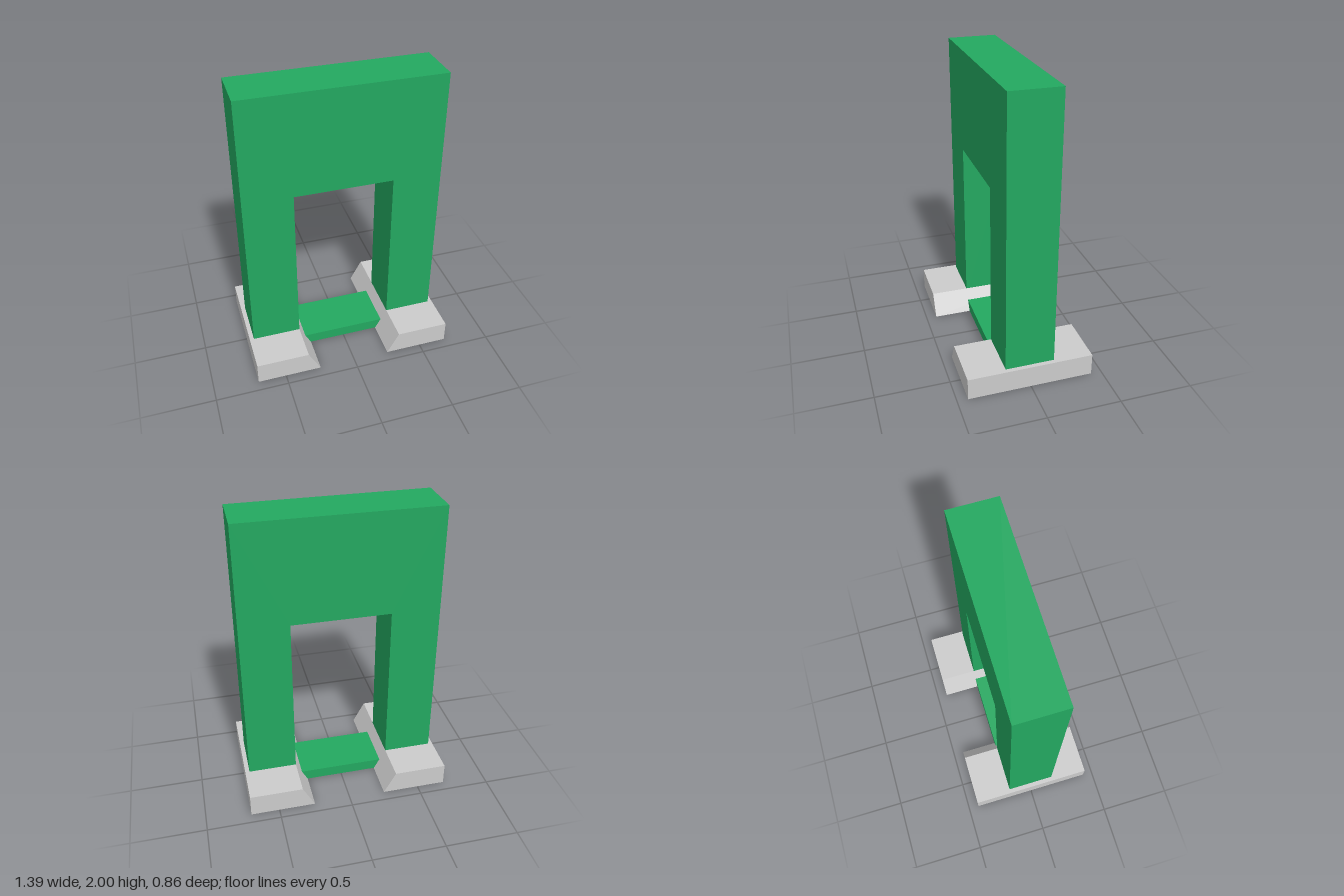
import * as THREE from 'three';

const green = new THREE.MeshStandardMaterial({ color: 0x23a860 });
const grey = new THREE.MeshStandardMaterial({ color: 0xcccccc });

const points = (list) => list.map(([x, y]) => new THREE.Vector2(x, y));

// Extrude an outline along z, centred on z = 0
function slab(name, outline, depth, material, hole) {
  const shape = new THREE.Shape(points(outline));
  if (hole) shape.holes.push(new THREE.Path(points(hole)));
  const geometry = new THREE.ExtrudeGeometry(shape, { depth, bevelEnabled: false });
  geometry.translate(0, 0, -depth / 2);
  const mesh = new THREE.Mesh(geometry, material);
  mesh.name = name;
  return mesh;
}

export function createModel() {
  const model = new THREE.Group();
  model.name = 'gate';

  // Upright frame: deep lintel, two posts and a low sill, just clear of the feet's undersides
  const w = 0.665, inner = 0.333, base = 0.001;
  model.add(slab('frame',
    [[-w, base], [w, base], [w, 2], [-w, 2]], 0.333, green,
    [[-inner, 0.075], [-inner, 1.295], [inner, 1.295], [inner, 0.075]]));

  // Feet with a sloped inner side
  for (const [name, s] of [['leftFoot', 1], ['rightFoot', -1]]) {
    const outline = [[0.25, 0], [0.695, 0], [0.695, 0.153], [0.333, 0.153]];
    model.add(slab(name, outline.map(([x, y]) => [s * x, y]), 0.855, grey));
  }
  return model;
}
